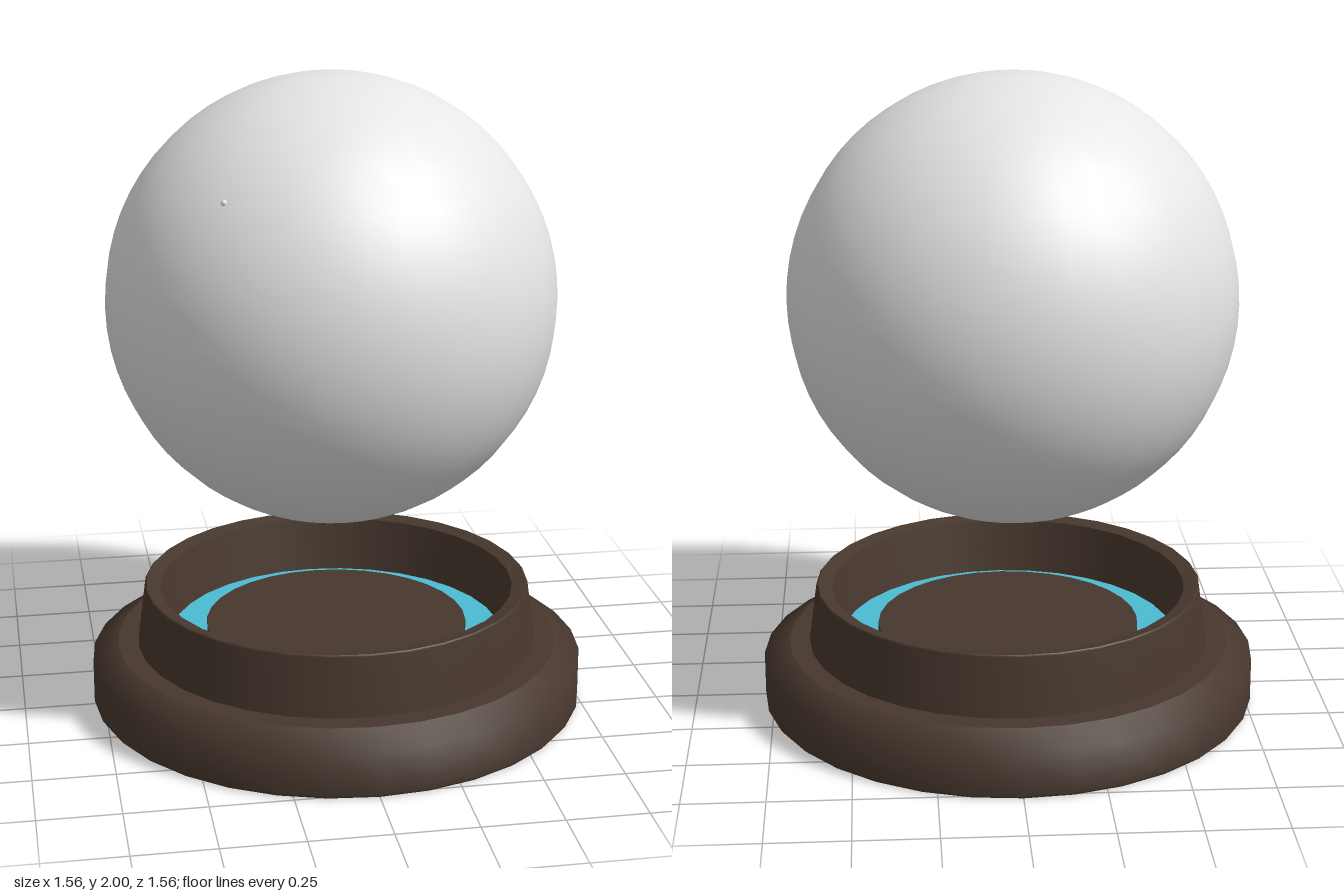
import * as THREE from 'three';
import { mergeGeometries } from 'three/addons/utils/BufferGeometryUtils.js';

const SIDES = 32;

const material = (name, color) => {
  const m = new THREE.MeshStandardMaterial({ color });
  m.name = name;
  return m;
};

// Turned shape from separate profile runs: smooth within a run, sharp between runs
function turned(runs) {
  return mergeGeometries(runs.map((run) =>
    new THREE.LatheGeometry(run.map(([r, y]) => new THREE.Vector2(r, y)), SIDES)));
}

export function createModel() {
  const group = new THREE.Group();
  const brown = material('dark brown wood', 0x48382e);
  const blue = material('water blue', 0x4bbcd2);
  const white = material('pale glass', 0xe6e6e6);

  const add = (name, geometry, mat, x = 0, y = 0, z = 0) => {
    const mesh = new THREE.Mesh(geometry, mat);
    mesh.name = name;
    mesh.position.set(x, y, z);
    group.add(mesh);
  };

  // Wide foot with a bevelled shoulder
  add('foot', turned([
    [[0, 0], [0.772, 0]],
    [[0.772, 0], [0.78, 0.01], [0.78, 0.145], [0.70, 0.19]],
    [[0.70, 0.19], [0, 0.19]],
  ]), brown);

  // Hollow tapered collar
  add('collar', turned([
    [[0.635, 0.19], [0.61, 0.375], [0.605, 0.38]],
    [[0.605, 0.38], [0.56, 0.37]],
    [[0.56, 0.37], [0.53, 0.19]],
  ]), brown);

  // Blue floor and raised disc inside the collar
  add('blueFloor', new THREE.CylinderGeometry(0.53, 0.53, 0.008, SIDES), blue, 0, 0.194, 0);
  add('innerDisc', new THREE.CylinderGeometry(0.415, 0.415, 0.045, SIDES), brown, 0, 0.2175, 0);

  // Floating globe with a tiny bubble breaking its surface
  add('globe', new THREE.SphereGeometry(0.693, SIDES, 32), white, -0.015, 1.307, 0);
  add('bubble', new THREE.SphereGeometry(0.01, 8, 6), white, -0.39, 1.71, 0.415);

  return group;
}
